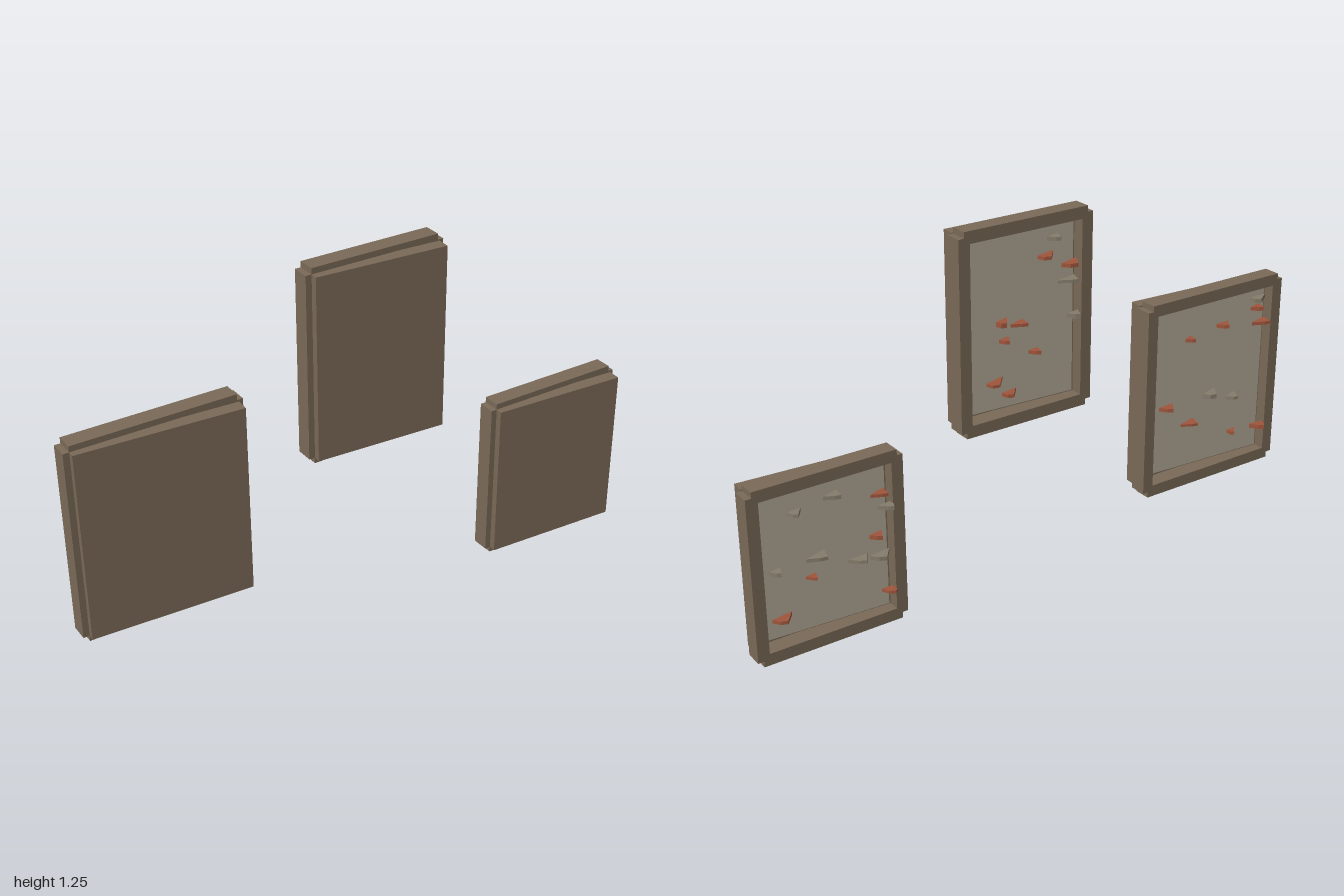
import * as THREE from 'three';

const BAR = 0.04, DEPTH = 0.06, THICK = 0.045;

const mat = (name, color) => {
  const m = new THREE.MeshStandardMaterial({ color });
  m.name = name;
  return m;
};

export function createModel() {
  const wood = mat('brown wood', 0x7b6a58);
  const plaster = mat('pale plaster', 0xb0a994);
  const brick = mat('brick red', 0xa0553c);
  const stone = mat('grey stone', 0x857c6c);

  let seed = 11;
  const rnd = () => (seed = (seed * 16807) % 2147483647) / 2147483647;

  const box = (parent, name, size, pos, material) => {
    const m = new THREE.Mesh(new THREE.BoxGeometry(...size), material);
    m.name = name;
    m.position.set(...pos);
    parent.add(m);
  };

  // Flat trapezoid splinter, tapering towards the back, with its tip at z = 0
  const shard = (material) => {
    const w = 0.035 + rnd() * 0.045, d = 0.025 + w * 0.25;
    const t = 0.009 + rnd() * 0.007, tip = (rnd() - 0.5) * w * 0.5;
    const shape = new THREE.Shape([
      new THREE.Vector2(-w / 2, 0),
      new THREE.Vector2(w / 2, d * 0.25),
      new THREE.Vector2(tip + w * 0.2, d * 0.8),
      new THREE.Vector2(tip - w * 0.1, d),
    ]);
    const g = new THREE.ExtrudeGeometry(shape, { depth: t, bevelEnabled: false });
    g.rotateX(-Math.PI / 2);
    g.translate(0, -t / 2, d);
    const m = new THREE.Mesh(g, material);
    m.name = material === brick ? 'brickShard' : 'stoneShard';
    return m;
  };

  const model = new THREE.Group();
  model.name = 'wallPanels';

  // One framed panel; shard spots are [x, y] in the model's frame
  const addPanel = (name, x, y, z, w, h, brickSpots, stoneSpots) => {
    const panel = new THREE.Group();
    panel.name = name;
    panel.position.set(x, y, z);
    model.add(panel);

    // Frame bars centred on the board edges
    for (const s of [-1, 1]) {
      box(panel, s > 0 ? 'topBar' : 'bottomBar', [w, BAR, DEPTH], [0, s * h / 2, 0], wood);
      box(panel, s > 0 ? 'leftBar' : 'rightBar', [BAR, h, DEPTH], [s * w / 2, 0, 0], wood);
    }

    // Slightly swung front board with plaster on its back
    const door = new THREE.Group();
    door.name = 'swungBoard';
    door.position.z = 0.047;
    door.rotation.y = -0.06;
    box(door, 'board', [w, h, THICK], [0, 0, 0], wood);
    box(door, 'plasterBack', [w - 0.05, h - 0.05, 0.006], [0, 0, -THICK / 2 - 0.002], plaster);
    panel.add(door);

    // Rubble splinters sticking out of the back
    for (const [material, spots] of [[brick, brickSpots], [stone, stoneSpots]]) {
      for (const [sx, sy] of spots) {
        const m = shard(material);
        m.position.set(sx - x, sy - y, -0.036 - rnd() * 0.014);
        m.rotation.y = (rnd() - 0.5) * 0.5;
        panel.add(m);
      }
    }
  };

  addPanel('leftPanel', -0.707, 0.5325, -0.057, 0.545, 0.655,
    [[-0.61, 0.72], [-0.75, 0.74], [-0.9, 0.77], [-0.93, 0.71], [-0.52, 0.49], [-0.62, 0.41], [-0.81, 0.33], [-0.93, 0.32]],
    [[-0.91, 0.8], [-0.71, 0.5], [-0.82, 0.46]]);
  addPanel('middlePanel', 0.0325, 0.915, -0.01, 0.455, 0.63,
    [[-0.06, 1.11], [-0.15, 1.07], [0.11, 0.93], [0.05, 0.91], [0.11, 0.87], [0, 0.81], [0.14, 0.74], [0.09, 0.69]],
    [[-0.07, 1.17], [-0.13, 1.02], [-0.15, 0.9]]);
  addPanel('rightPanel', 0.734, 0.2975, 0.03, 0.487, 0.555,
    [[0.55, 0.46], [0.57, 0.32], [0.8, 0.25], [0.9, 0.14], [0.52, 0.11]],
    [[0.84, 0.48], [0.71, 0.5], [0.53, 0.41], [0.91, 0.3], [0.77, 0.31], [0.63, 0.25], [0.55, 0.24]]);
  return model;
}
